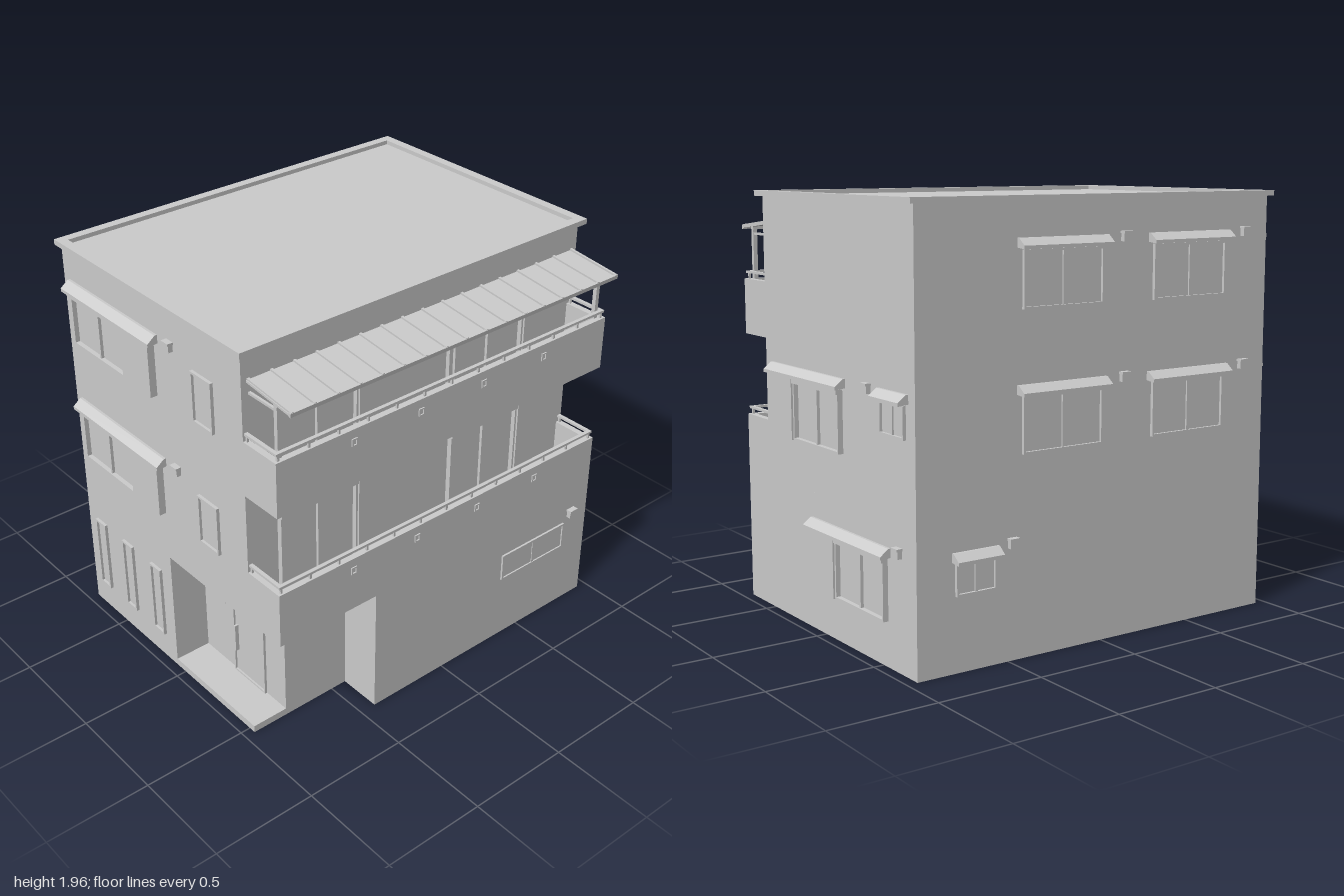
import * as THREE from 'three';

const mat = new THREE.MeshStandardMaterial({ color: 0xcccccc, flatShading: true });

function add(parent, name, geo) {
  const m = new THREE.Mesh(geo, mat);
  m.name = name;
  parent.add(m);
  return m;
}

// box given by its limits on each axis
function box(parent, name, x0, x1, y0, y1, z0, z1) {
  const g = new THREE.BoxGeometry(x1 - x0, y1 - y0, z1 - z0);
  g.translate((x0 + x1) / 2, (y0 + y1) / 2, (z0 + z1) / 2);
  return add(parent, name, g);
}

function rectPoints(x0, x1, y0, y1) {
  return [[x0, y0], [x1, y0], [x1, y1], [x0, y1]].map(p => new THREE.Vector2(...p));
}

// rectangular ring of border t, extruded outwards along z
function ringGeometry(x0, x1, y0, y1, t, depth) {
  const s = new THREE.Shape(rectPoints(x0, x1, y0, y1));
  s.holes.push(new THREE.Path(rectPoints(x0 + t, x1 - t, y0 + t, y1 - t)));
  return new THREE.ExtrudeGeometry(s, { depth, bevelEnabled: false });
}

// sloped rain hood above a window, wall at z = 0
function hood(parent, u0, u1, y) {
  const s = new THREE.Shape([[0, 0], [0.05, -0.005], [0.05, 0.01], [0.012, 0.04], [0, 0.04]]
    .map(p => new THREE.Vector2(...p)));
  const g = new THREE.ExtrudeGeometry(s, { depth: u1 - u0, bevelEnabled: false });
  g.rotateY(-Math.PI / 2).translate(u1, 0, 0).translate(0, y, 0);
  add(parent, 'windowHood', g);
}

// framed window on a wall plane; panes split by mullions
function windowUnit(wall, u0, u1, y0, y1, { panes = 1, depth = 0.015, border = 0.01 } = {}) {
  const g = new THREE.Group();
  g.name = 'window';
  wall.add(g);
  add(g, 'windowFrame', ringGeometry(u0, u1, y0, y1, border, depth));
  box(g, 'glass', u0 + border, u1 - border, y0 + border, y1 - border, -0.005, 0.003);
  for (let i = 1; i < panes; i++) {
    const u = u0 + (u1 - u0) * i / panes;
    box(g, 'mullion', u - 0.006, u + 0.006, y0 + border, y1 - border, 0, depth * 0.7);
  }
  return g;
}

// sliding window with a shutter case beside it and a shutter box on top
function shutterWindow(wall, u0, u1, c0, c1, y0, y1) {
  const g = windowUnit(wall, u0, u1, y0, y1, { panes: 2, depth: 0.025 });
  box(g, 'shutterCase', c0, c1, y0, y1, 0, 0.034);
  box(g, 'shutterBox', u0, u1, y1 - 0.022, y1, 0, 0.032);
}

// small wall vent with a cap
function vent(wall, u, y) {
  box(wall, 'vent', u - 0.02, u + 0.02, y - 0.022, y + 0.012, 0, 0.022);
  box(wall, 'ventCap', u - 0.024, u + 0.024, y + 0.012, y + 0.022, 0, 0.028);
}

function wallGroup(parent, name, x, z, angle) {
  const g = new THREE.Group();
  g.name = name;
  g.position.set(x, 0, z);
  g.rotation.y = angle;
  parent.add(g);
  return g;
}

// walled balcony with a low handrail
function balcony(parent, y0, y1) {
  const g = new THREE.Group();
  g.name = 'balcony';
  parent.add(g);
  const X0 = 0.535, X1 = 0.745, Z = 0.95, t = 0.03;
  box(g, 'balconyFloor', X0, X1, y0, y0 + 0.045, -Z, Z);
  box(g, 'balconyWall', X1 - t, X1, y0 + 0.045, y1, -Z, Z);
  for (const s of [-1, 1]) {
    const a = s * Z, b = s * (Z - t);
    box(g, 'balconyEndWall', X0, X1 - t, y0 + 0.045, y1, Math.min(a, b), Math.max(a, b));
    const c = s * 0.935;
    box(g, 'endRail', X0, 0.74, y1 + 0.026, y1 + 0.037, c - 0.009, c + 0.009);
    box(g, 'railPost', X0 + 0.004, X0 + 0.014, y1, y1 + 0.028, c - 0.005, c + 0.005);
  }
  box(g, 'handrail', 0.722, 0.74, y1 + 0.026, y1 + 0.037, -0.944, 0.944);
  for (let i = 0; i <= 12; i++) {
    const z = -0.93 + i * 0.155;
    box(g, 'railPost', 0.726, 0.736, y1, y1 + 0.028, z - 0.005, z + 0.005);
  }
  // drain openings on the outer face
  for (const z of [0.55, 0.185, -0.18, -0.55]) {
    add(g, 'drain', ringGeometry(-0.015, 0.015, -0.018, 0.018, 0.006, 0.006)
      .rotateY(Math.PI / 2).translate(X1, y1 - 0.06, z));
  }
}

// lean-to canopy over the top balcony
function canopy(parent) {
  const g = new THREE.Group();
  g.name = 'canopy';
  parent.add(g);
  const roof = new THREE.Group();
  roof.name = 'canopyRoof';
  roof.position.set(0.535, 1.808, 0);
  roof.rotation.z = -Math.atan2(0.03, 0.275);
  g.add(roof);
  box(roof, 'canopySheet', 0, 0.276, -0.006, 0.004, -0.925, 0.925);
  box(roof, 'canopyEdge', 0.266, 0.278, -0.01, 0.009, -0.925, 0.925);
  for (let i = 0; i <= 16; i++) {
    const z = -0.915 + i * 1.83 / 16;
    box(roof, 'canopyRib', 0, 0.276, 0.004, 0.012, z - 0.006, z + 0.006);
  }
  box(g, 'canopyBeam', 0.7, 0.722, 1.77, 1.788, -0.92, 0.92);
  for (const z of [-0.91, 0, 0.91]) {
    box(g, 'canopyPost', 0.701, 0.721, 1.325, 1.785, z - 0.01, z + 0.01);
    if (z) box(g, 'canopyTie', 0.535, 0.702, 1.745, 1.756, z - 0.006, z + 0.006);
  }
}

export function createModel() {
  const house = new THREE.Group();
  house.name = 'house';

  // ground floor with the porch cut out of its front corner
  const plan = [[-0.765, 0.95], [0.745, 0.95], [0.745, -0.42], [0.535, -0.42],
    [0.535, -0.77], [-0.065, -0.77], [-0.065, -0.95], [-0.765, -0.95]];
  const ground = new THREE.ExtrudeGeometry(
    new THREE.Shape(plan.map(p => new THREE.Vector2(...p))), { depth: 0.63, bevelEnabled: false });
  add(house, 'groundFloor', ground.rotateX(-Math.PI / 2));
  box(house, 'porchSlab', -0.065, 0.535, 0, 0.035, 0.77, 0.95);

  // upper floors and roof edge
  box(house, 'upperFloors', -0.765, 0.535, 0.63, 1.935, -0.95, 0.95);
  add(house, 'roofEdge', ringGeometry(-0.79, 0.56, -0.97, 0.98, 0.045, 0.025)
    .rotateX(-Math.PI / 2).translate(0, 1.93, 0));

  balcony(house, 0.63, 0.895);
  balcony(house, 1.28, 1.54);
  canopy(house);

  const H = Math.PI / 2;
  const front = wallGroup(house, 'frontWall', 0, 0.95, 0);
  const back = wallGroup(house, 'backWall', 0, -0.95, Math.PI);
  const left = wallGroup(house, 'leftWall', 0.745, 0, H);
  const right = wallGroup(house, 'rightWall', -0.765, 0, -H);
  const terrace = wallGroup(house, 'balconyWallFace', 0.535, 0, H);
  const porch = wallGroup(house, 'porchWall', 0, 0.77, 0);

  // the two upper floors repeat the same openings
  for (const d of [0, 0.605]) {
    shutterWindow(front, -0.69, -0.28, -0.28, -0.07, 0.875 + d, 1.13 + d);
    hood(front, -0.72, -0.04, 1.138 + d);
    windowUnit(front, 0.205, 0.345, 0.88 + d, 1.12 + d);
    vent(front, 0.052, 1.168 + d);

    const e = d ? 0.64 : 0;
    shutterWindow(terrace, -0.79, -0.37, -0.37, -0.165, 0.675 + e, 1.13 + e);
    shutterWindow(terrace, 0.185, 0.605, 0.605, 0.81, 0.675 + e, 1.13 + e);

    for (const z of [-0.22, 0.48]) {
      windowUnit(right, z - 0.21, z + 0.21, 0.885 + d, 1.13 + d, { panes: 2 });
      hood(right, z - 0.235, z + 0.235, 1.138 + d);
      vent(right, z + 0.33, 1.168 + d);
    }
  }

  // ground floor front: tall slit windows
  for (const x of [-0.648, -0.418, -0.185]) {
    windowUnit(front, x - 0.042, x + 0.042, 0.14, 0.515);
  }

  // entrance
  windowUnit(porch, 0.165, 0.395, 0.035, 0.465, { border: 0.008, depth: 0.012 }).name = 'frontDoor';
  box(porch, 'doorHandle', 0.184, 0.194, 0.165, 0.31, 0.003, 0.022);
  box(porch, 'porchLamp', 0.095, 0.14, 0.415, 0.46, 0, 0.03);

  // sides, ground floor
  windowUnit(left, 0.37, 0.79, 0.33, 0.47, { panes: 2, depth: 0.01 });
  vent(left, 0.835, 0.515);
  windowUnit(right, -0.765, -0.565, 0.33, 0.475, { panes: 2 });
  hood(right, -0.78, -0.55, 0.475);
  vent(right, -0.48, 0.515);

  // back
  shutterWindow(back, -0.23, 0.18, -0.44, -0.23, 0.85, 1.13);
  hood(back, -0.465, 0.205, 1.138);
  windowUnit(back, 0.505, 0.695, 0.99, 1.13, { panes: 2 });
  hood(back, 0.485, 0.715, 1.138);
  vent(back, 0.4, 1.165);
  shutterWindow(back, 0.13, 0.54, -0.08, 0.13, 0.2, 0.475);
  hood(back, -0.11, 0.565, 0.478);
  vent(back, 0.635, 0.515);

  return house;
}
